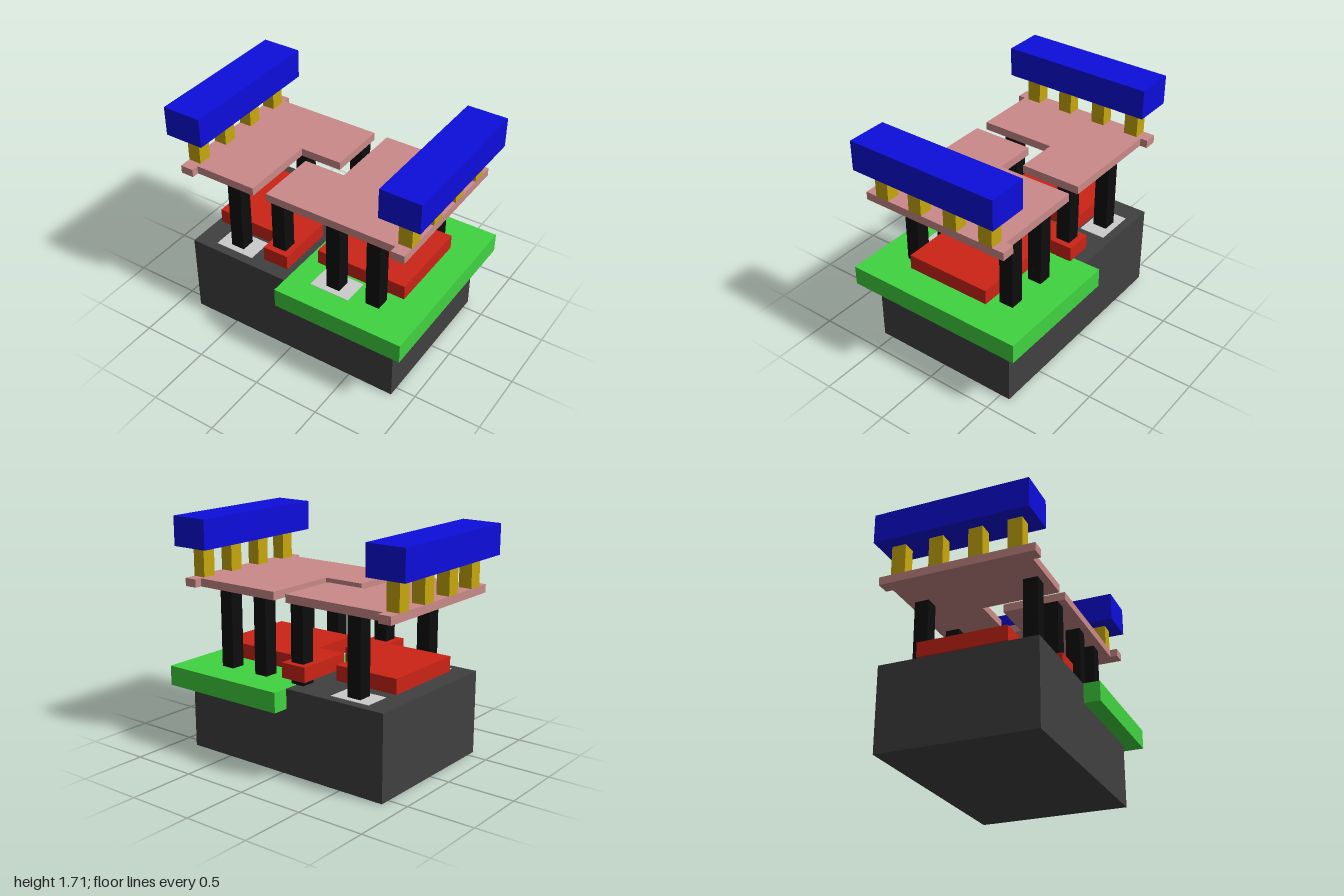
import * as THREE from 'three';

const paint = (color) => new THREE.MeshStandardMaterial({ color });
const MAT = {
  base: paint(0x404040), green: paint(0x40d440), grey: paint(0xcccccc),
  red: paint(0xcc2416), black: paint(0x0d0d0d), pink: paint(0xc98a88),
  gold: paint(0xc8a80d), blue: paint(0x0d0ddc),
};

export function createModel() {
  const model = new THREE.Group();
  model.name = 'layeredBlockStructure';

  const add = (name, geometry, material) => {
    const mesh = new THREE.Mesh(geometry, material);
    mesh.name = name;
    model.add(mesh);
    return mesh;
  };

  // Box given by its limits on each axis
  const box = (name, material, [x0, x1], [y0, y1], [z0, z1]) => {
    const mesh = add(name, new THREE.BoxGeometry(x1 - x0, y1 - y0, z1 - z0), material);
    mesh.position.set((x0 + x1) / 2, (y0 + y1) / 2, (z0 + z1) / 2);
  };

  // Flat plate from an outline of [x, z] points
  const plate = (name, material, y0, y1, outline) => {
    const shape = new THREE.Shape(outline.map(([x, z]) => new THREE.Vector2(x, -z)));
    const geometry = new THREE.ExtrudeGeometry(shape, { depth: y1 - y0, bevelEnabled: false });
    geometry.rotateX(-Math.PI / 2);
    add(name, geometry, material).position.y = y0;
  };

  // Base block and the slab set into its top
  box('base', MAT.base, [-0.85, 0.85], [0, 0.625], [-0.575, 0.575]);
  box('sideSlab', MAT.green, [-0.04, 0.965], [0.48, 0.627], [-0.695, 0.695]);

  // Thin pads under some of the posts
  for (const [x, z] of [[-0.53, 0.41], [-0.53, -0.41], [0.29, 0.41]]) {
    box('pad', MAT.grey, [x - 0.155, x + 0.155], [0.6, 0.629], [z - 0.1, z + 0.1]);
  }

  // Two lower plates, each with an arm
  plate('lowerPlateRight', MAT.red, 0.67, 0.78, [
    [-0.78, -0.33], [-0.285, -0.33], [-0.285, 0.06], [-0.06, 0.06],
    [-0.06, 0.51], [-0.26, 0.51], [-0.26, 0.33], [-0.78, 0.33],
  ]);
  plate('lowerPlateLeft', MAT.red, 0.67, 0.78, [
    [0.78, 0.33], [0.078, 0.33], [0.078, -0.07], [-0.148, -0.07],
    [-0.148, -0.51], [0.052, -0.51], [0.052, -0.33], [0.78, -0.33],
  ]);

  // Posts between base and upper plates
  const posts = [[-0.158, 0.41], [-0.047, -0.41]];
  for (const x of [-0.533, 0.291, 0.61]) posts.push([x, 0.41], [x, -0.41]);
  for (const [x, z] of posts) {
    box('post', MAT.black, [x - 0.053, x + 0.053], [0.625, 1.21], [z - 0.054, z + 0.054]);
  }

  // Two interlocking upper plates with wider outer rims
  plate('upperPlateRight', MAT.pink, 1.21, 1.27, [
    [-0.9, -0.575], [-0.8, -0.575], [-0.8, -0.52], [0.005, -0.52], [0.005, -0.06],
    [-0.32, -0.06], [-0.32, 0.52], [-0.8, 0.52], [-0.8, 0.575], [-0.9, 0.575],
  ]);
  plate('upperPlateLeft', MAT.pink, 1.21, 1.27, [
    [0.9, 0.575], [0.8, 0.575], [0.8, 0.52], [-0.21, 0.52], [-0.21, 0.05],
    [0.11, 0.05], [0.11, -0.52], [0.8, -0.52], [0.8, -0.575], [0.9, -0.575],
  ]);

  // Short pillars and top beams on both sides
  for (const side of [-1, 1]) {
    const c = side * 0.85;
    for (const z of [-0.432, -0.147, 0.147, 0.432]) {
      box('pillar', MAT.gold, [c - 0.05, c + 0.05], [1.27, 1.49], [z - 0.053, z + 0.053]);
    }
    box('topBeam', MAT.blue, [c - 0.15, c + 0.15], [1.49, 1.71], [-0.575, 0.575]);
  }

  return model;
}
